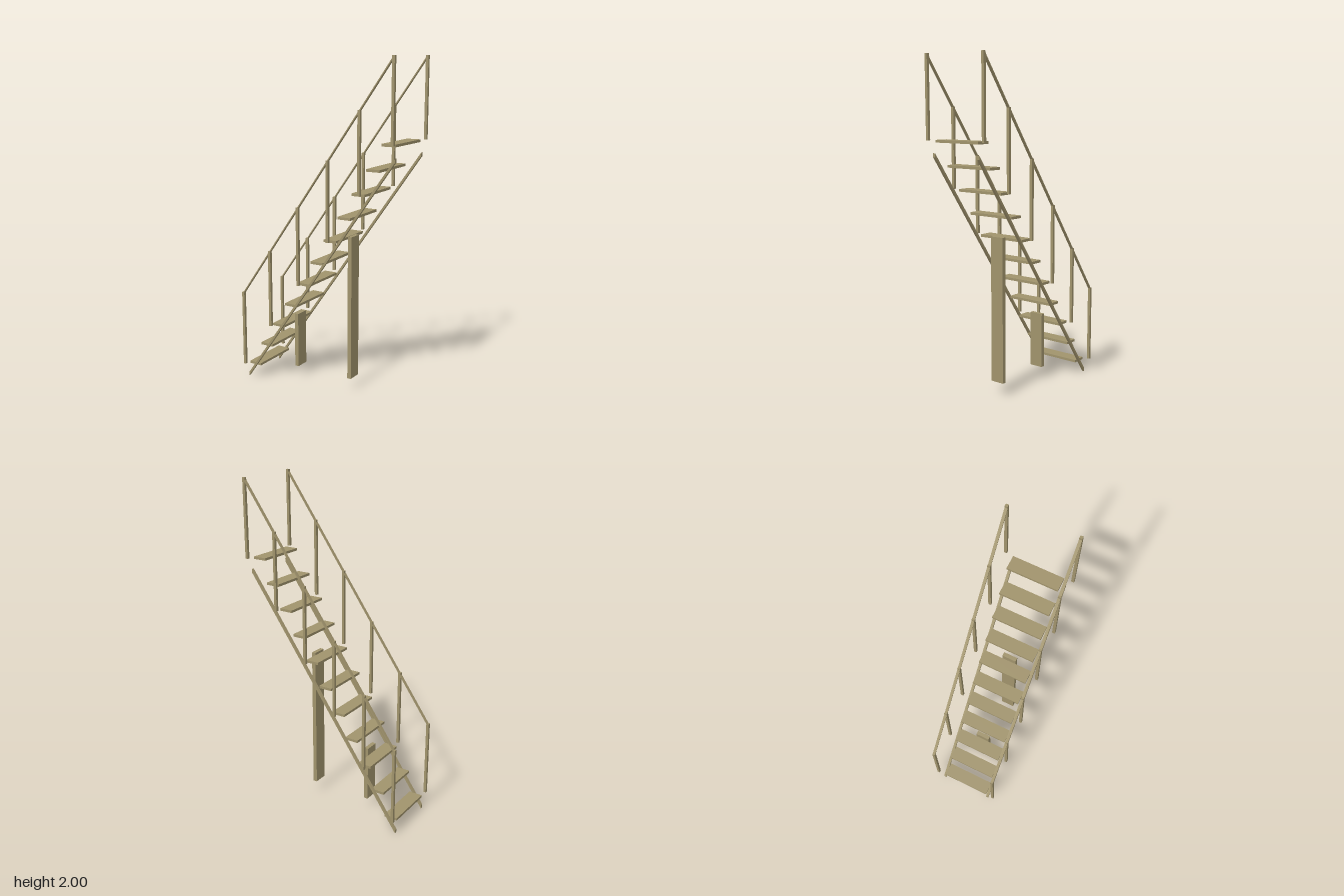
import * as THREE from 'three';

export function createModel() {
  const model = new THREE.Group();
  model.name = 'staircase';
  const wood = new THREE.MeshStandardMaterial({ color: 0xa0936c, flatShading: true });

  function add(name, geometry, x, y, z) {
    const mesh = new THREE.Mesh(geometry, wood);
    mesh.name = name;
    mesh.position.set(x, y, z);
    model.add(mesh);
  }

  // Sloping bar with vertical end cuts, centred on z
  function slopedBar(x0, y0, x1, y1, height, width) {
    const shape = new THREE.Shape([
      new THREE.Vector2(x0, y0), new THREE.Vector2(x1, y1),
      new THREE.Vector2(x1, y1 + height), new THREE.Vector2(x0, y0 + height),
    ]);
    return new THREE.ExtrudeGeometry(shape, { depth: width, bevelEnabled: false })
      .translate(0, 0, -width / 2);
  }

  // Open treads
  const tread = new THREE.BoxGeometry(0.084, 0.015, 0.312);
  for (let i = 0; i < 11; i++) {
    add('tread', tread, -0.467 + i * 0.0924, 0.086 + i * 0.144, 0);
  }

  // Stringers, handrails and posts on both sides
  const stringer = slopedBar(-0.508, 0, 0.506, 1.438, 0.022, 0.017);
  const handrail = slopedBar(-0.507, 0.553, 0.507, 1.985, 0.011, 0.017);
  const post = new THREE.BoxGeometry(0.016, 0.47, 0.017);
  for (const side of [-1, 1]) {
    add('stringer', stringer, 0, 0, side * 0.163);
    add('handrail', handrail, 0, 0, side * 0.205);
    for (let i = 0; i < 6; i++) {
      add('railPost', post, -0.508 + i * 0.2032, 0.33 + i * 0.287, side * 0.205);
    }
  }

  // Central support columns
  for (const [x, top] of [[-0.226, 0.425], [0.155, 0.962]]) {
    const height = top - 0.08;
    add('supportColumn', new THREE.BoxGeometry(0.025, height, 0.088), x, 0.08 + height / 2, 0);
  }

  return model;
}
